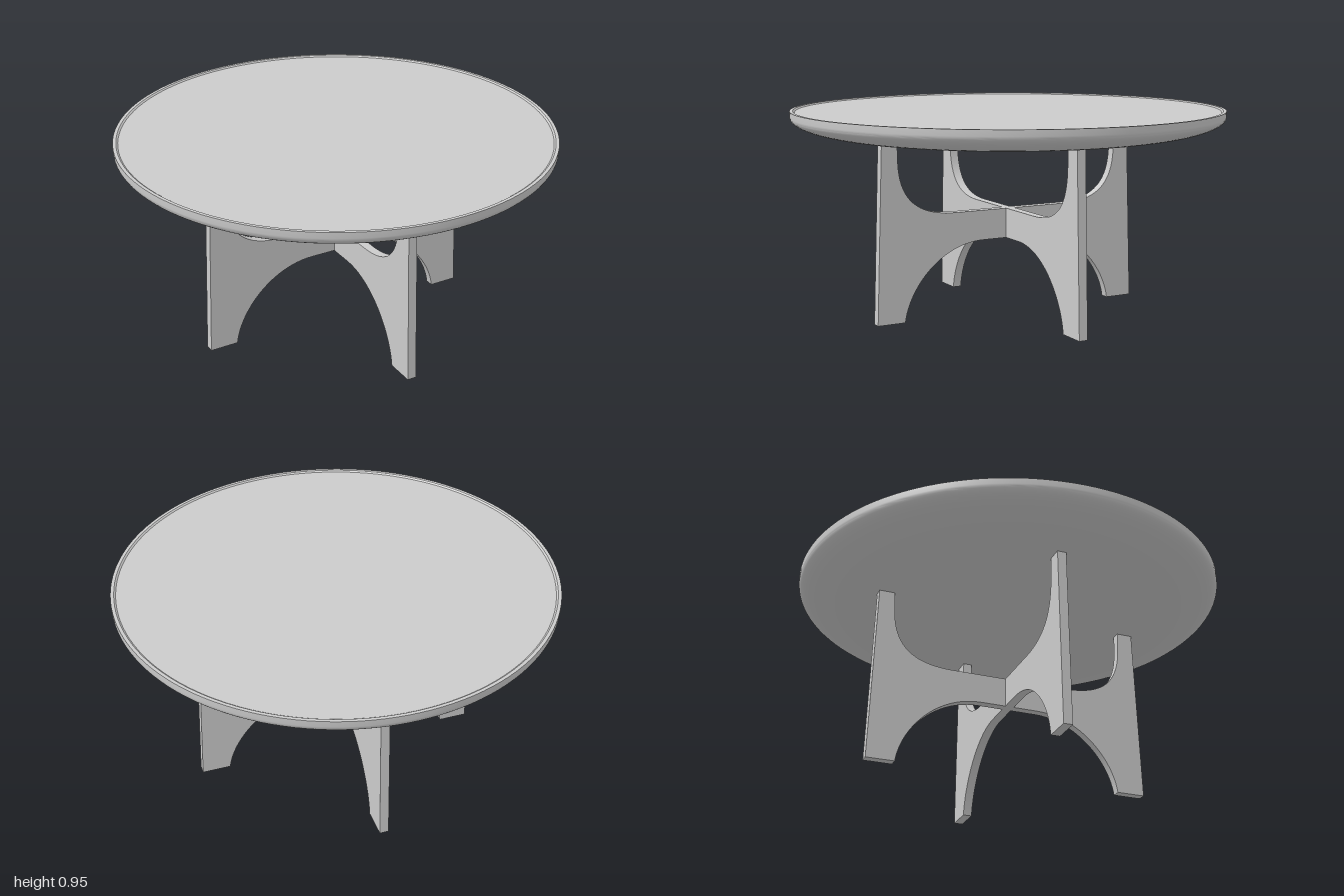
import * as THREE from 'three';
import { toCreasedNormals } from 'three/addons/utils/BufferGeometryUtils.js';

const material = new THREE.MeshStandardMaterial({ color: 0xcccccc });

// Round top: bowed underside, vertical lip, shallow recess inside a thin rim
function makeTabletop() {
  const v = (x, y) => new THREE.Vector2(x, y);
  const underside = new THREE.CubicBezierCurve(v(0.65, 0.834), v(0.85, 0.834), v(1, 0.875), v(1, 0.925));
  const profile = [
    v(0, 0.834),
    ...underside.getPoints(20),
    v(1, 0.952), v(0.985, 0.952), v(0.977, 0.946), v(0, 0.946),
  ];
  const geometry = toCreasedNormals(new THREE.LatheGeometry(profile, 128), 0.5);
  const mesh = new THREE.Mesh(geometry, material);
  mesh.name = 'tabletop';
  return mesh;
}

// Upright panel: two tapered legs joined by a crossbar, arched above and below
function makeLegPanel(name, angle) {
  const thickness = 0.042;
  const top = 0.84;
  const s = new THREE.Shape();
  s.moveTo(-0.676, 0);
  s.lineTo(-0.542, 0);
  s.bezierCurveTo(-0.52, 0.16, -0.36, 0.348, -0.14, 0.348);
  s.lineTo(0.14, 0.348);
  s.bezierCurveTo(0.36, 0.348, 0.52, 0.16, 0.542, 0);
  s.lineTo(0.676, 0);
  s.lineTo(0.646, top);
  s.lineTo(0.572, top);
  s.lineTo(0.57, 0.74);
  s.bezierCurveTo(0.565, 0.57, 0.485, 0.487, 0.28, 0.487);
  s.lineTo(-0.28, 0.487);
  s.bezierCurveTo(-0.485, 0.487, -0.565, 0.57, -0.57, 0.74);
  s.lineTo(-0.572, top);
  s.lineTo(-0.646, top);
  s.closePath();

  const geometry = new THREE.ExtrudeGeometry(s, { depth: thickness, bevelEnabled: false, curveSegments: 24 });
  geometry.translate(0, 0, -thickness / 2);
  const mesh = new THREE.Mesh(toCreasedNormals(geometry, 0.4), material);
  mesh.name = name;
  mesh.rotation.y = angle;
  return mesh;
}

export function createModel() {
  const model = new THREE.Group();
  model.name = 'roundTable';
  model.add(makeTabletop());

  // Two identical panels crossing at right angles
  const base = new THREE.Group();
  base.name = 'crossBase';
  const turn = -0.2;
  base.add(makeLegPanel('legPanelSide', turn));
  base.add(makeLegPanel('legPanelFront', turn + Math.PI / 2));
  model.add(base);
  return model;
}
